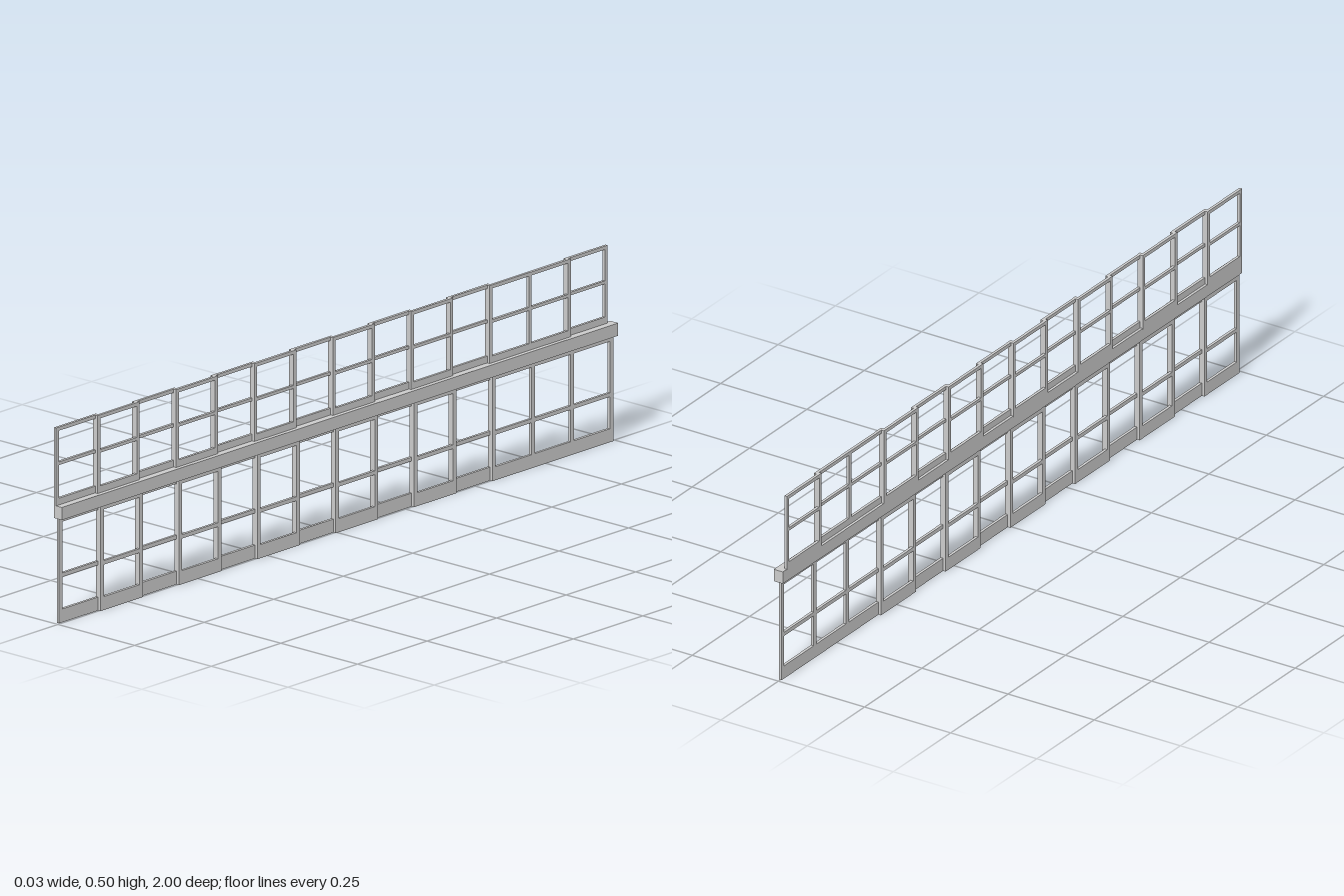
import * as THREE from 'three';

const material = new THREE.MeshStandardMaterial({ color: 0xcccccc, flatShading: true });
const COUNT = 14;
const DEPTH = 0.0075;

function rectangle(target, z0, z1, y0, y1) {
  target.moveTo(z0, y0);
  target.lineTo(z1, y0);
  target.lineTo(z1, y1);
  target.lineTo(z0, y1);
  target.closePath();
  return target;
}

// One sash: a frame with two panes, lying in the z-y plane, x from 0 to DEPTH
function sashGeometry(width, post, rows) {
  const h = width / 2;
  const shape = rectangle(new THREE.Shape(), -h, h, rows[0][0], rows[rows.length - 1][1]);
  for (let i = 0; i < rows.length - 1; i++) {
    shape.holes.push(rectangle(new THREE.Path(), -h + post, h - post, rows[i][1], rows[i + 1][0]));
  }
  const geometry = new THREE.ExtrudeGeometry(shape, { depth: DEPTH, bevelEnabled: false });
  geometry.rotateY(-Math.PI / 2);
  geometry.translate(DEPTH, 0, 0);
  return geometry;
}

// A row of sashes sliding in two neighbouring tracks
function sashRow(name, { zStart, zEnd, post, rows, xBack, outer }) {
  const row = new THREE.Group();
  row.name = name;
  const pitch = (zStart - zEnd - post) / (COUNT - 1 + 1);
  const geometry = sashGeometry(pitch + post, post, rows);
  for (let i = 0; i < COUNT; i++) {
    const sash = new THREE.Mesh(geometry, material);
    sash.name = `${name}Sash${i + 1}`;
    const x = xBack + (outer.includes(i + 1) ? DEPTH : 0);
    sash.position.set(x, 0, zStart - post / 2 - (i + 0.5) * pitch);
    row.add(sash);
  }
  return row;
}

export function createModel() {
  const model = new THREE.Group();
  model.name = 'windowBand';

  // Upper sashes; rows are the [bottom, top] of each horizontal rail
  model.add(sashRow('upper', {
    zStart: 1, zEnd: -0.983, post: 0.01, xBack: -0.0135,
    rows: [[0.297, 0.316], [0.4, 0.408], [0.487, 0.496]],
    outer: [2, 4, 6, 8, 10, 12, 13],
  }));

  // Lower sashes with a deep bottom rail
  model.add(sashRow('lower', {
    zStart: 0.992, zEnd: -0.992, post: 0.012, xBack: -0.011,
    rows: [[0, 0.034], [0.115, 0.125], [0.255, 0.269]],
    outer: [2, 4, 6, 8, 10, 12, 13, 14],
  }));

  // Transom beam between the two rows
  const beam = new THREE.Mesh(new THREE.BoxGeometry(0.026, 0.032, 2), material);
  beam.name = 'transomBeam';
  beam.position.set(0, 0.283, 0);
  model.add(beam);

  return model;
}
